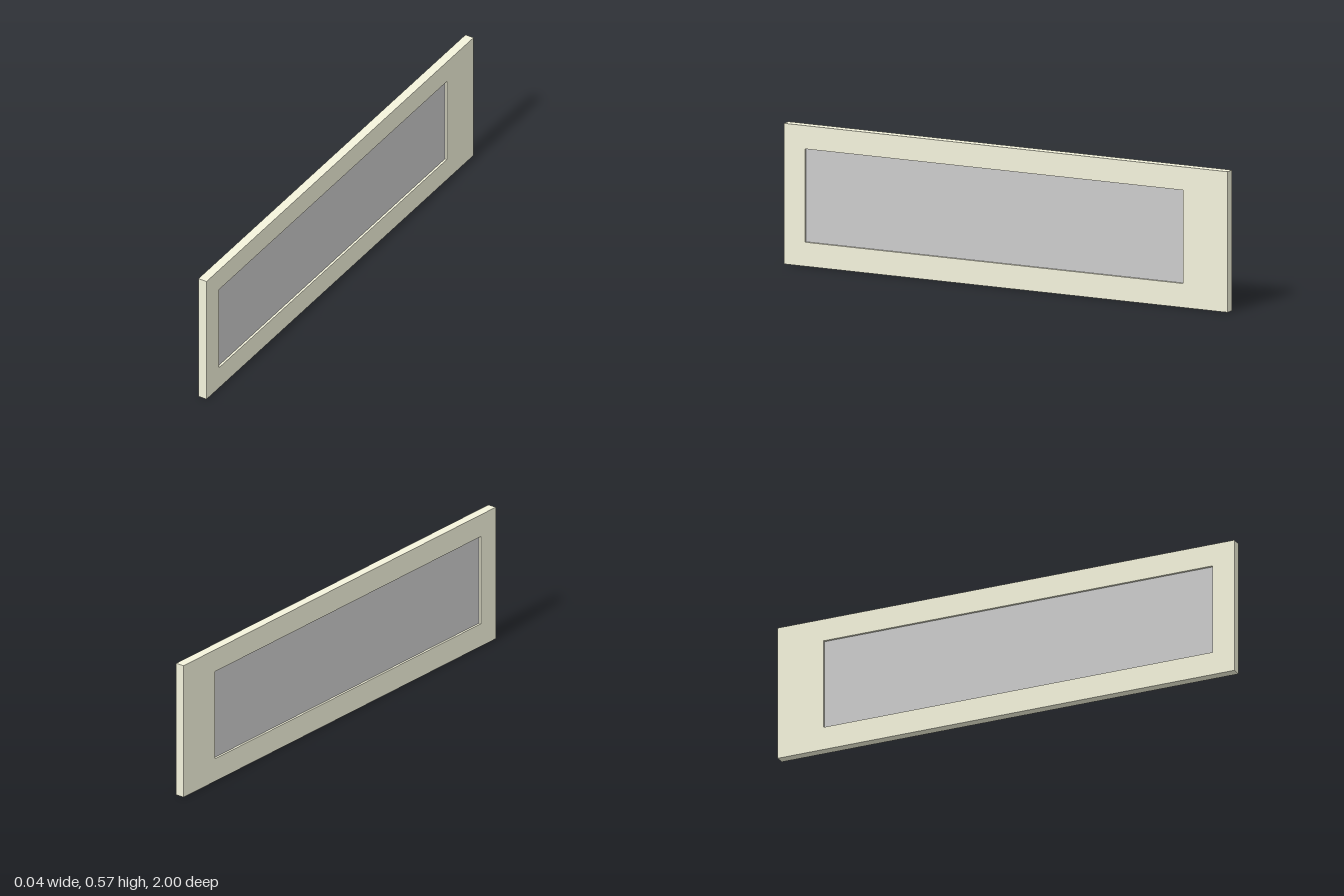
import * as THREE from 'three';

const HEIGHT = 0.573, THICK = 0.038, PANEL_THICK = 0.019;
const OPENING = { z0: -0.8, z1: 0.905, y0: 0.098, y1: 0.478 };

// Corner points of a rectangle, shape x becoming model z
const rect = (a0, b0, a1, b1) => [[a0, b0], [a1, b0], [a1, b1], [a0, b1]].map(p => new THREE.Vector2(...p));

export function createModel() {
  const group = new THREE.Group();
  group.name = 'framedPanel';
  const { z0, z1, y0, y1 } = OPENING;

  // Flat frame with an off-centre rectangular opening
  const shape = new THREE.Shape(rect(-1, 0, 1, HEIGHT));
  shape.holes.push(new THREE.Path(rect(z0, y0, z1, y1)));
  const frameGeometry = new THREE.ExtrudeGeometry(shape, { depth: THICK, bevelEnabled: false });
  frameGeometry.translate(0, 0, -THICK / 2).rotateY(-Math.PI / 2);
  const frame = new THREE.Mesh(frameGeometry, new THREE.MeshStandardMaterial({ color: 0xf4f3dc }));
  frame.name = 'frame';

  // Thinner panel filling the opening, recessed equally on both faces
  const panel = new THREE.Mesh(
    new THREE.BoxGeometry(PANEL_THICK, y1 - y0, z1 - z0),
    new THREE.MeshStandardMaterial({ color: 0xcccccc })
  );
  panel.position.set(0, (y0 + y1) / 2, (z0 + z1) / 2);
  panel.name = 'panel';

  group.add(frame, panel);
  return group;
}
